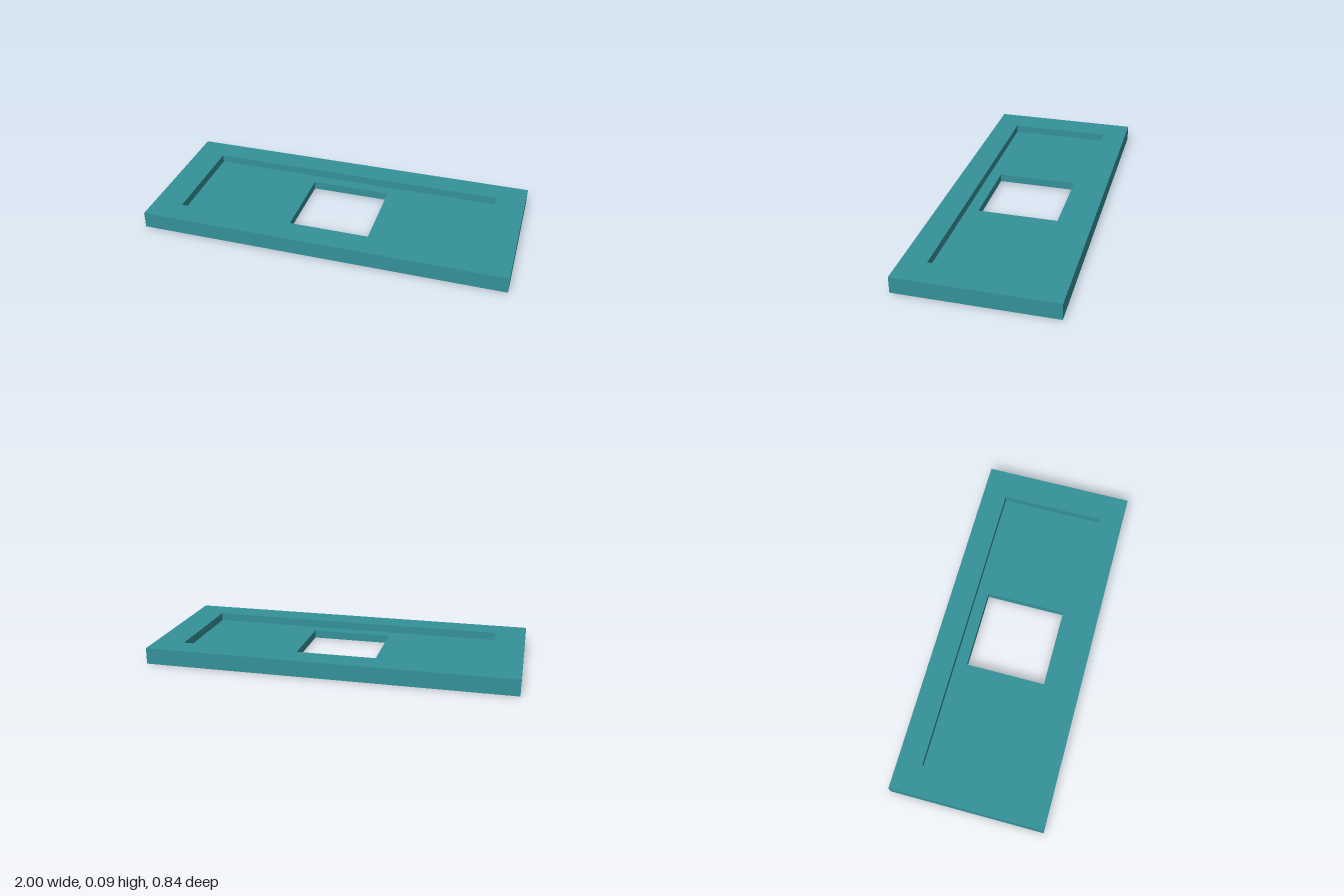
import * as THREE from 'three';
import { mergeGeometries } from 'three/addons/utils/BufferGeometryUtils.js';

// Half sizes [x, z] of the nested rectangles, and the heights of the levels
const OUTER = [1, 0.422], RECESS = [0.836, 0.287], OPENING = [0.222, 0.222];
const TOP = 0.089, FLOOR = 0.0445;

function rectangle(path, [hx, hz]) {
  return path.moveTo(-hx, -hz).lineTo(hx, -hz).lineTo(hx, hz).lineTo(-hx, hz).closePath();
}

// Flat rectangular ring at height y, facing up or down
function ring(outer, inner, y, up) {
  const shape = rectangle(new THREE.Shape(), outer);
  shape.holes.push(rectangle(new THREE.Path(), inner));
  return new THREE.ShapeGeometry(shape)
    .rotateX(up ? -Math.PI / 2 : Math.PI / 2)
    .translate(0, y, 0);
}

// Four upright walls around a rectangle, facing outward or inward
function walls([hx, hz], y0, y1, inward) {
  return mergeGeometries([0, 1, 2, 3].map((k) => {
    const [half, distance] = k % 2 ? [hz, hx] : [hx, hz];
    return new THREE.PlaneGeometry(2 * half, y1 - y0)
      .rotateY(inward ? Math.PI : 0)
      .translate(0, (y0 + y1) / 2, distance)
      .rotateY(k * Math.PI / 2);
  }));
}

export function createModel() {
  const group = new THREE.Group();
  group.name = 'recessedPlate';
  const teal = new THREE.MeshStandardMaterial({ color: 0x35929a });
  teal.name = 'teal';

  const add = (name, geometry) => {
    const mesh = new THREE.Mesh(geometry, teal);
    mesh.name = name;
    group.add(mesh);
  };

  // Outer frame
  add('outerSides', walls(OUTER, 0, TOP, false));
  add('rimTop', ring(OUTER, RECESS, TOP, true));

  // Shallow recess
  add('recessWalls', walls(RECESS, FLOOR, TOP, true));
  add('recessFloor', ring(RECESS, OPENING, FLOOR, true));

  // Square through opening and underside
  add('openingWalls', walls(OPENING, 0, FLOOR, true));
  add('underside', ring(OUTER, OPENING, 0, false));

  return group;
}
